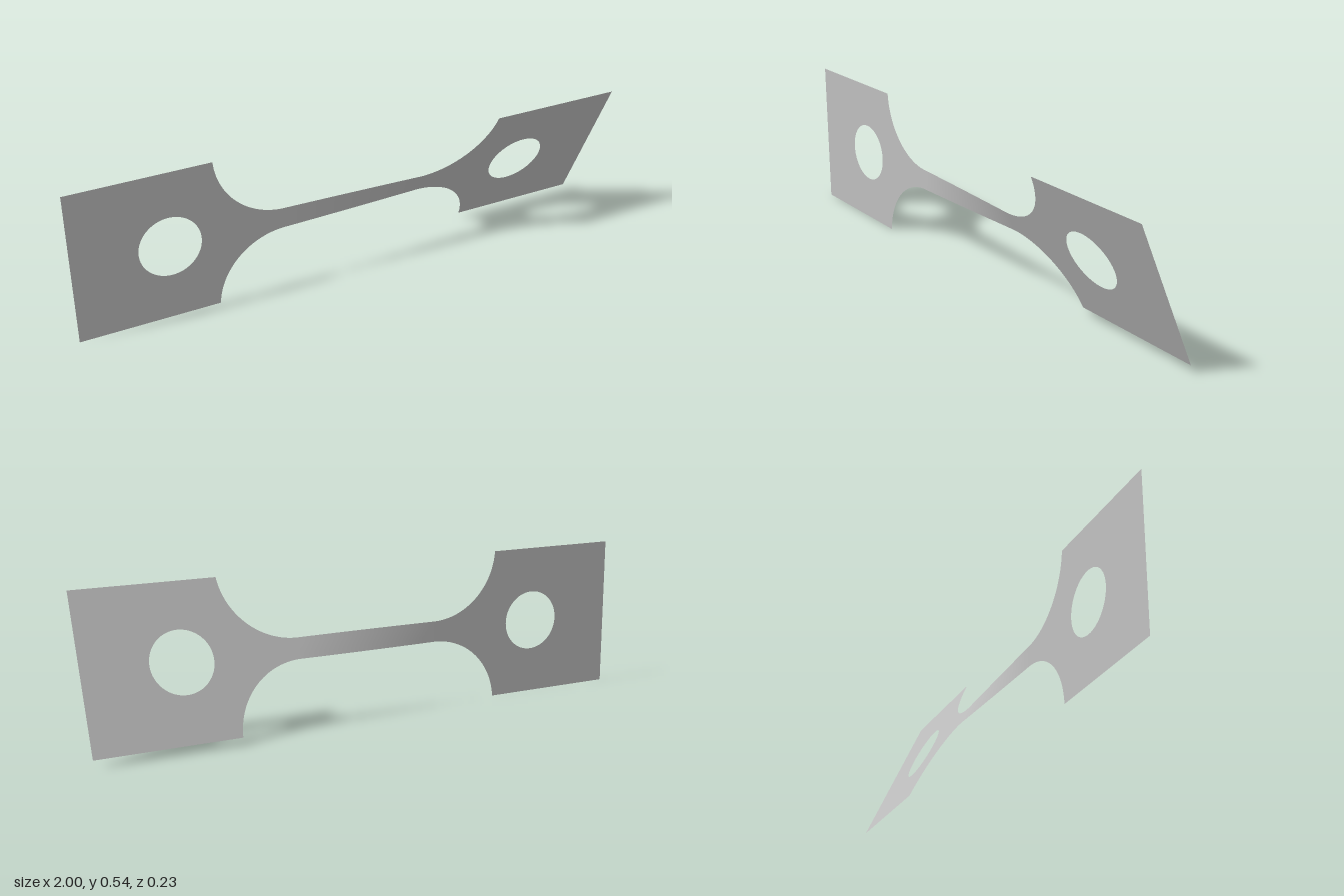
import * as THREE from 'three';

const HALF_H = 0.27;    // half height of the end tabs
const NECK = 0.037;     // half height of the neck
const NECK_END = 0.26;  // where the fillets meet the neck
const FILLET = 0.25;
const LOW = THREE.MathUtils.degToRad(0.6);
const HIGH = THREE.MathUtils.degToRad(24.7);

// Twist angle along the length: steady in the tabs, linear in the neck
function twistAt(x) {
  const t = THREE.MathUtils.clamp((x + NECK_END) / (2 * NECK_END), 0, 1);
  return THREE.MathUtils.lerp(LOW, HIGH, t);
}

// Turn each point about the long axis and lift the sheet to its height
function twist(geometry) {
  const p = geometry.attributes.position;
  for (let i = 0; i < p.count; i++) {
    const a = twistAt(p.getX(i)), y = p.getY(i);
    p.setXYZ(i, p.getX(i), HALF_H + 0.001 + y * Math.cos(a), y * Math.sin(a));
  }
  geometry.computeVertexNormals();
  return geometry;
}

// Square tab with a round hole and two concave fillets into the neck
function tabGeometry() {
  const cy = NECK + FILLET;
  const end = Math.asin((cy - HALF_H) / FILLET);
  const s = new THREE.Shape();
  s.moveTo(1, -HALF_H);
  s.lineTo(1, HALF_H);
  s.absarc(NECK_END, cy, FILLET, -end, -Math.PI / 2, true);
  s.absarc(NECK_END, -cy, FILLET, Math.PI / 2, end, true);
  s.closePath();
  const hole = new THREE.Path();
  hole.absarc(0.67, 0, 0.108, 0, Math.PI * 2, true);
  s.holes.push(hole);
  return new THREE.ShapeGeometry(s, 32);
}

export function createModel() {
  const group = new THREE.Group();
  const metal = new THREE.MeshStandardMaterial({ color: 0xc0c0c0, side: THREE.DoubleSide });
  metal.name = 'grey metal';

  const add = (name, geometry) => {
    const mesh = new THREE.Mesh(twist(geometry), metal);
    mesh.name = name;
    group.add(mesh);
  };

  // End tabs; the right one is the left one turned half way round
  add('leftTab', tabGeometry());
  add('rightTab', tabGeometry().rotateZ(Math.PI));

  // Twisted neck
  add('neck', new THREE.PlaneGeometry(2 * NECK_END, 2 * NECK, 48, 4));
  return group;
}
